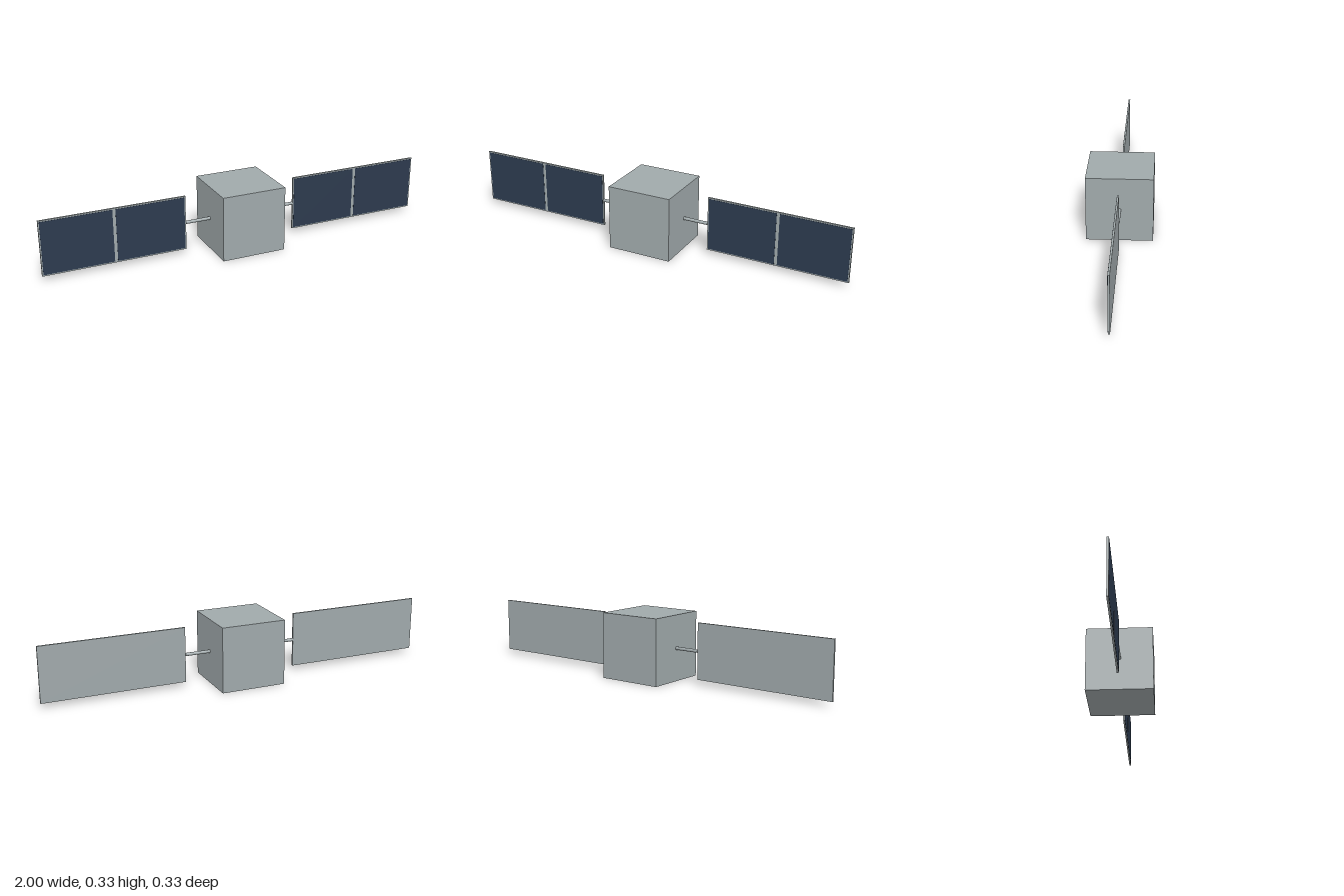
import * as THREE from 'three';

const material = (name, color) => {
  const m = new THREE.MeshStandardMaterial({ color });
  m.name = name;
  return m;
};

export function createModel() {
  const model = new THREE.Group();
  model.name = 'satellite';
  const grey = material('metalGrey', 0xa0a9ab);
  const navy = material('solarNavy', 0x2c3a4e);

  const SIZE = 0.326, MID = SIZE / 2;
  const INNER = 0.29, OUTER = 1.0, HEIGHT = 0.276, DEPTH = 0.009;
  const FRAME = 0.006, DIVIDER = 0.015;

  const add = (parent, name, geometry, mat, x, y, z) => {
    const mesh = new THREE.Mesh(geometry, mat);
    mesh.name = name;
    mesh.position.set(x, y, z);
    parent.add(mesh);
    return mesh;
  };

  // Cube body
  add(model, 'body', new THREE.BoxGeometry(SIZE, SIZE, SIZE), grey, 0, MID, 0);

  // One wing on each side: boom, backing panel and two solar cells
  const panelLength = OUTER - INNER;
  const panelX = (INNER + OUTER) / 2;
  const cellWidth = (panelLength - 2 * FRAME - DIVIDER) / 2;
  for (const side of [1, -1]) {
    const wing = new THREE.Group();
    wing.name = side > 0 ? 'leftWing' : 'rightWing';
    model.add(wing);

    const boom = add(wing, 'boom', new THREE.CylinderGeometry(0.008, 0.008, INNER - MID, 24),
      grey, side * (INNER + MID) / 2, MID, 0);
    boom.rotation.z = Math.PI / 2;

    add(wing, 'panel', new THREE.BoxGeometry(panelLength, HEIGHT, DEPTH), grey, side * panelX, MID, 0);

    // Cells lie on the front face only
    for (const k of [-1, 1]) {
      add(wing, 'solarCell', new THREE.BoxGeometry(cellWidth, HEIGHT - 2 * FRAME, 0.002), navy,
        side * panelX + k * (cellWidth + DIVIDER) / 2, MID, DEPTH / 2);
    }
  }
  return model;
}
